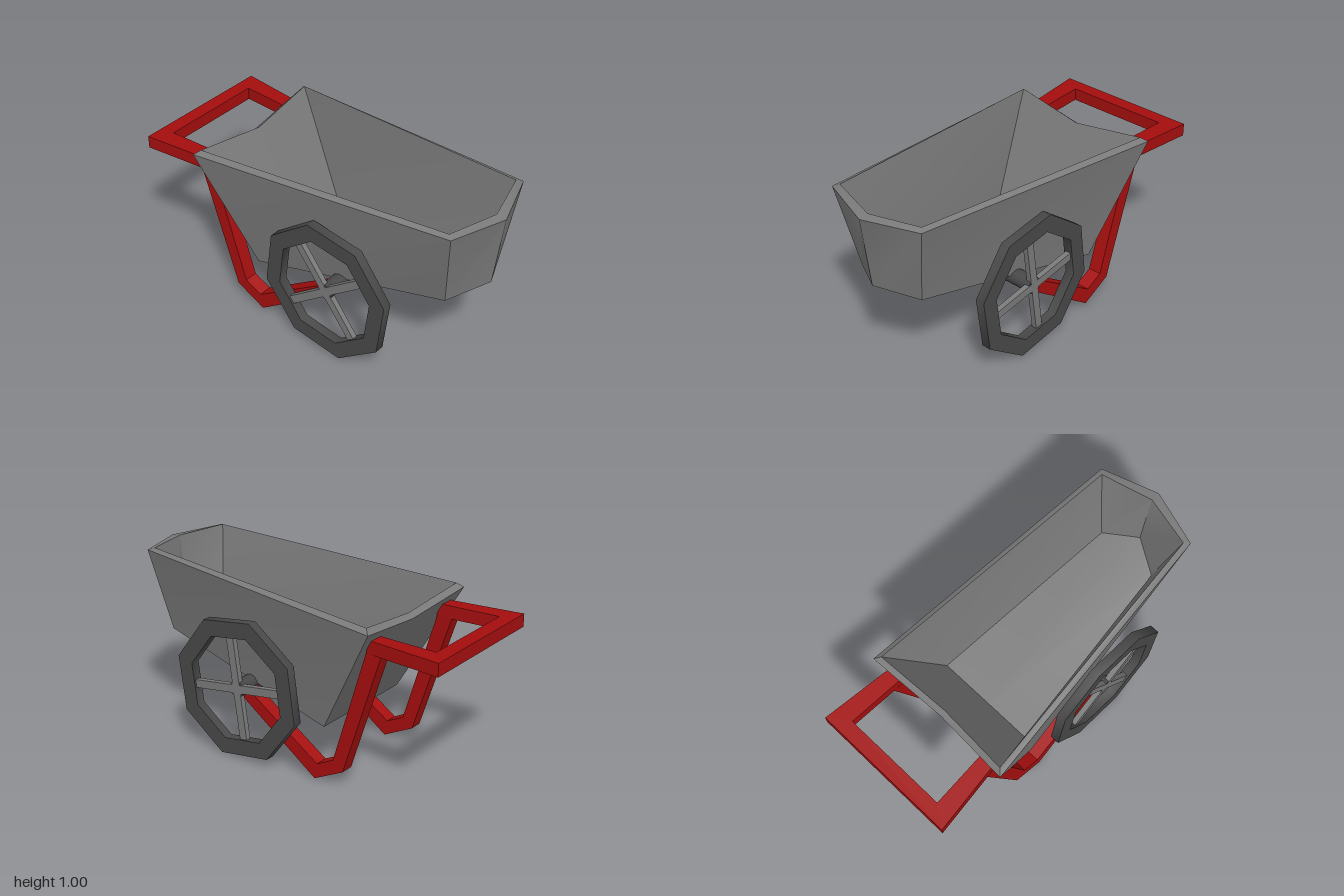
import * as THREE from 'three';
import { toCreasedNormals } from 'three/addons/utils/BufferGeometryUtils.js';

const paint = (name, color) => {
  const m = new THREE.MeshStandardMaterial({ color });
  m.name = name;
  return m;
};

const shapeOf = (pts) => new THREE.Shape(pts.map(([x, y]) => new THREE.Vector2(x, y)));
const extrude = (shape, depth) => new THREE.ExtrudeGeometry(shape, { depth, bevelEnabled: false });

// Six-cornered ring: back middle, back left, front left, tip, then mirrored
function ring(mid, back, front, tip) {
  const flip = ([x, y, z]) => [x, y, -z];
  return [mid, back, front, tip, flip(front), flip(back)];
}

// Hollow tub skinned over four rings, closed by an underside and a floor
function tubGeometry() {
  const rings = [
    ring([-0.3, 0.295, 0], [-0.3, 0.295, 0.335], [0.82, 0.535, 0.21], [0.945, 0.585, 0]),
    ring([-0.6, 0.845, 0], [-0.63, 0.895, 0.44], [0.895, 0.998, 0.307], [0.998, 0.99, 0]),
    ring([-0.57, 0.868, 0], [-0.6, 0.92, 0.41], [0.867, 1.008, 0.28], [0.943, 0.997, 0]),
    ring([-0.28, 0.33, 0], [-0.28, 0.33, 0.315], [0.795, 0.565, 0.182], [0.9, 0.61, 0]),
  ];
  const pos = [];
  const tri = (a, b, c) => pos.push(...a, ...b, ...c);
  for (let r = 0; r < 3; r++) {
    for (let i = 0; i < 6; i++) {
      const j = (i + 1) % 6, lo = rings[r], hi = rings[r + 1];
      tri(lo[i], lo[j], hi[j]);
      tri(lo[i], hi[j], hi[i]);
    }
  }
  for (let i = 1; i < 5; i++) {
    tri(rings[0][0], rings[0][i + 1], rings[0][i]);
    tri(rings[3][0], rings[3][i], rings[3][i + 1]);
  }
  const g = new THREE.BufferGeometry();
  g.setAttribute('position', new THREE.Float32BufferAttribute(pos, 3));
  return toCreasedNormals(g, 0.7);
}

export function createModel() {
  const model = new THREE.Group();
  model.name = 'wheelbarrow';
  const steel = paint('grey steel', 0x7a7a7a);
  const rubber = paint('dark rubber', 0x484848);
  const red = paint('red frame', 0xa50e0e);

  const add = (parent, name, geometry, material) => {
    const mesh = new THREE.Mesh(geometry, material);
    mesh.name = name;
    parent.add(mesh);
    return mesh;
  };

  add(model, 'tub', tubGeometry(), steel);

  // Handle frame with an open middle
  const plan = shapeOf([[-1, -0.408], [-0.57, -0.36], [-0.57, -0.28], [-0.92, -0.297],
    [-0.92, 0.297], [-0.57, 0.28], [-0.57, 0.36], [-1, 0.408]]);
  const handle = add(model, 'handle', extrude(plan, 0.07).rotateX(Math.PI / 2), red);
  handle.position.y = 0.838;

  // Bent legs running down from the handle and forward to the axle
  const legShape = shapeOf([[-0.655, 0.77], [-0.435, 0.09], [-0.26, 0.003], [0.23, 0.355],
    [0.2, 0.41], [-0.275, 0.09], [-0.375, 0.14], [-0.567, 0.77]]);
  for (const [name, z] of [['leftLeg', 0.285], ['rightLeg', -0.36]]) {
    add(model, name, extrude(legShape, 0.075), red).position.z = z;
  }

  // Axle
  const axle = new THREE.CylinderGeometry(0.045, 0.045, 0.8, 10).rotateX(Math.PI / 2);
  add(model, 'axle', axle, rubber).position.set(0.215, 0.392, 0);

  // Octagonal wheels with four spokes each
  const octagon = (r) => Array.from({ length: 8 }, (_, i) => {
    const a = (14.5 + i * 45) * Math.PI / 180;
    return [r * Math.cos(a), r * Math.sin(a)];
  });
  const tyreShape = shapeOf(octagon(0.4));
  tyreShape.holes.push(shapeOf(octagon(0.305)));
  const tyre = toCreasedNormals(extrude(tyreShape, 0.053).translate(0, 0, -0.0265), 0.9);
  for (const [name, side, turn] of [['leftWheel', 1, 37], ['rightWheel', -1, -8]]) {
    const wheel = new THREE.Group();
    wheel.name = name;
    wheel.position.set(0.215, 0.392, side * 0.387);
    add(wheel, 'tyre', tyre, rubber);
    for (let i = 0; i < 4; i++) {
      const spoke = new THREE.BoxGeometry(0.31, 0.045, 0.03).translate(0.155, 0, 0);
      add(wheel, 'spoke', spoke, steel).rotation.z = (turn + i * 90) * Math.PI / 180;
    }
    model.add(wheel);
  }
  return model;
}
